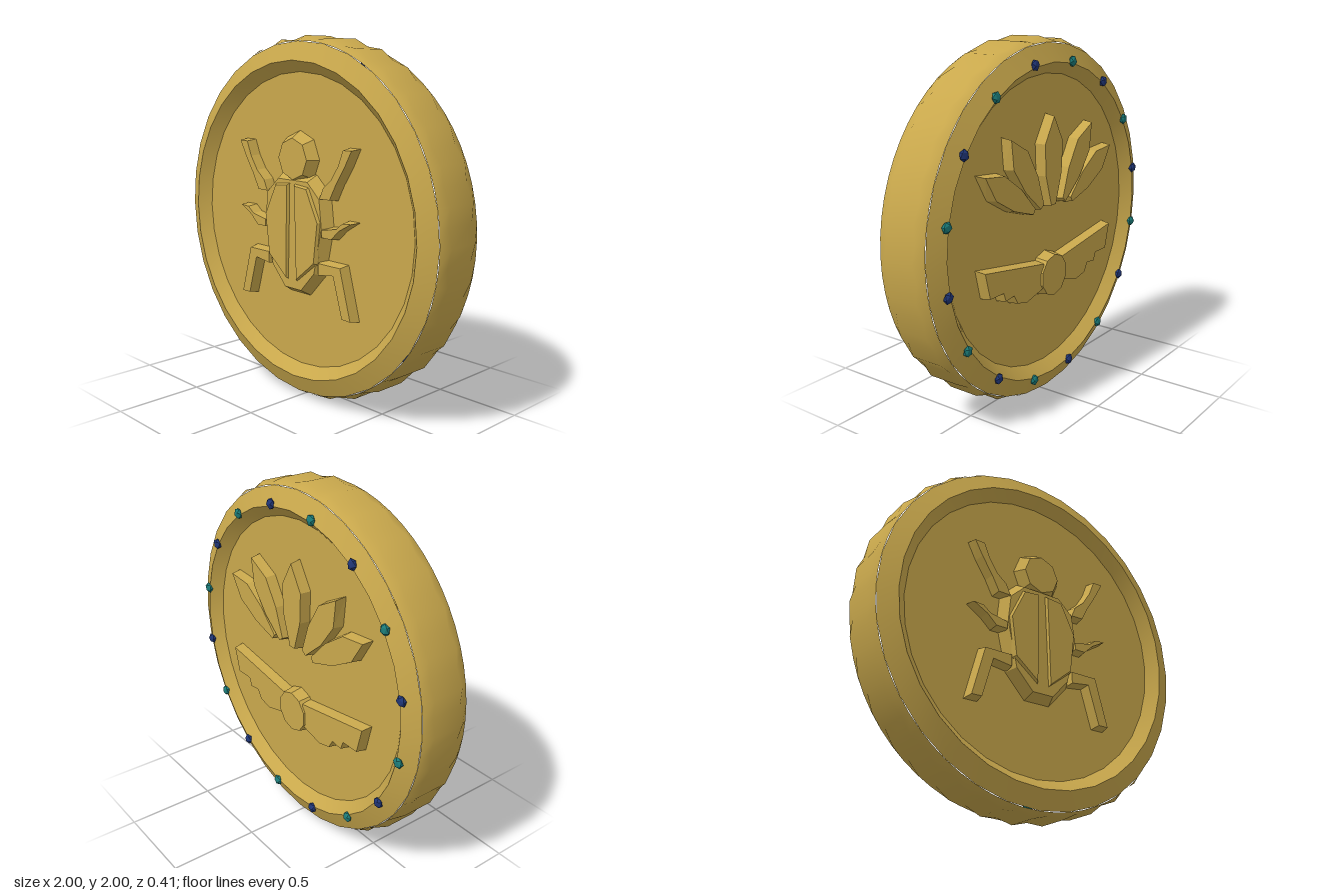
import * as THREE from 'three';
import { toCreasedNormals } from 'three/addons/utils/BufferGeometryUtils.js';

const material = (name, color) => Object.assign(new THREE.MeshStandardMaterial({ color }), { name });
const V = (x, y) => new THREE.Vector2(x, y);
const FLOOR = 0.13;

export function createModel() {
  const gold = material('gold', 0xc9a84c);
  const blue = material('lapis blue', 0x1f3576);
  const teal = material('turquoise', 0x1b7b78);

  const coin = new THREE.Group();
  coin.name = 'coin';
  coin.position.y = 1;

  const add = (parent, name, geometry, mat = gold) => {
    const mesh = new THREE.Mesh(geometry, mat);
    mesh.name = name;
    parent.add(mesh);
    return mesh;
  };

  // Raised relief: an outline whose walls lean inwards from z0 up to z1
  const relief = (parent, name, points, z1, draft = 0.01, z0 = FLOOR) => {
    const geometry = new THREE.ExtrudeGeometry(new THREE.Shape(points.map(([x, y]) => V(x, y))), {
      depth: 0.005, bevelEnabled: true, bevelSegments: 1,
      bevelThickness: z1 - z0, bevelSize: draft, bevelOffset: -draft,
    });
    geometry.translate(0, 0, z0 - 0.005);
    return add(parent, name, geometry);
  };
  const mirror = (points) => points.map(([x, y]) => [-x, y]);
  const pair = (parent, name, points, ...rest) => {
    relief(parent, name + 'Left', points, ...rest);
    relief(parent, name + 'Right', mirror(points), ...rest);
  };
  const polygon = (n, r, cy, turn = 0) => Array.from({ length: n }, (_, i) => {
    const a = turn + (i / n) * Math.PI * 2;
    return [r * Math.sin(a), cy + r * Math.cos(a)];
  });

  // Edge band: smooth, with a gently scalloped outline
  const band = new THREE.LatheGeometry(
    [V(0.97, -0.145), V(1, -0.09), V(1, 0.09), V(0.97, 0.145)], 64);
  const p = band.attributes.position;
  for (let i = 0; i < p.count; i++) {
    const step = Math.floor(i / 4);
    const k = step % 2 && Math.abs(p.getY(i)) < 0.1 ? 0.98 : 1;
    p.setXYZ(i, p.getX(i) * k, p.getY(i), p.getZ(i) * k);
  }
  add(coin, 'edgeBand', band.rotateX(Math.PI / 2));

  // Front and back faces: chamfered rim around a sunken field
  const dish = toCreasedNormals(new THREE.LatheGeometry(
    [V(0.97, 0.145), V(0.87, 0.19), V(0.81, FLOOR), V(0, FLOOR)], 32), 0.3);
  dish.rotateX(Math.PI / 2);
  const front = new THREE.Group();
  front.name = 'frontFace';
  const back = new THREE.Group();
  back.name = 'backFace';
  back.rotation.y = Math.PI;
  coin.add(front, back);
  add(front, 'frontRim', dish);
  add(back, 'backRim', dish);

  // Beetle
  const beetle = new THREE.Group();
  beetle.name = 'beetle';
  front.add(beetle);
  relief(beetle, 'head', polygon(8, 0.15, 0.35), 0.19, 0.035);
  const side = [[0.08, -0.4], [0.2, -0.27], [0.26, 0], [0.24, 0.17], [0.13, 0.27]];
  relief(beetle, 'body', [...side, ...mirror(side).reverse()], 0.19, 0.035);
  pair(beetle, 'wingCase',
    [[0.018, 0.22], [0.13, 0.21], [0.22, 0.03], [0.19, -0.2], [0.035, -0.32]], 0.205, 0.012, 0.185);
  pair(beetle, 'frontLeg',
    [[0.2, 0.21], [0.34, 0.34], [0.375, 0.35], [0.45, 0.43], [0.375, 0.43], [0.41, 0.35],
      [0.33, 0.24], [0.29, 0.15], [0.2, 0.15]].map(([x, y], i) =>
      i === 2 ? [0.4, 0.335] : i === 5 ? [0.34, 0.345] : i === 1 ? [0.335, 0.235] : i > 5 && i < 8
        ? [[0.29, 0.27], [0.23, 0.22]][i - 6] : i === 0 ? [0.29, 0.15] : [x, y]), 0.19, 0.008);
  pair(beetle, 'middleLeg',
    [[0.22, 0], [0.33, 0.02], [0.375, 0.055], [0.45, 0.055], [0.36, 0], [0.3, -0.055], [0.22, -0.055]],
    0.19, 0.008);
  pair(beetle, 'rearLeg',
    [[0.19, -0.18], [0.37, -0.18], [0.45, -0.47], [0.37, -0.47], [0.305, -0.25], [0.19, -0.265]],
    0.19, 0.01);

  // Lotus: five pointed petals fanned from a shared base
  const lotus = new THREE.Group();
  lotus.name = 'lotus';
  back.add(lotus);
  const petal = (name, bx, by, tx, ty, w) => {
    const dx = tx - bx, dy = ty - by, l = Math.hypot(dx, dy);
    const at = (t, s) => [bx + dx * t + (dy / l) * w * s, by + dy * t - (dx / l) * w * s];
    relief(lotus, name, [at(0, 0.3), at(0.35, 0.9), at(0.7, 1), at(1, 0),
      at(0.7, -1), at(0.35, -0.9), at(0, -0.3)], 0.19, 0.008);
  };
  petal('middlePetal', 0, 0.1, 0, 0.6, 0.09);
  for (const s of [1, -1]) {
    petal('innerPetal', 0.1 * s, 0.11, 0.38 * s, 0.52, 0.08);
    petal('outerPetal', 0.17 * s, 0.1, 0.59 * s, 0.36, 0.075);
  }

  // Winged disc with stepped feathers
  const winged = new THREE.Group();
  winged.name = 'wingedDisc';
  back.add(winged);
  relief(winged, 'disc', polygon(10, 0.13, -0.29), 0.2, 0.012);
  pair(winged, 'wing',
    [[0.08, -0.2], [0.6, -0.12], [0.56, -0.28], [0.45, -0.28], [0.43, -0.33], [0.36, -0.32],
      [0.33, -0.37], [0.24, -0.39], [0.08, -0.35]], 0.19, 0.008);

  // Sixteen alternating gems on the back rim
  const gem = new THREE.IcosahedronGeometry(0.032, 0);
  gem.scale(1, 1, 0.6);
  for (let k = 0; k < 16; k++) {
    const a = ((k + 0.5) * Math.PI) / 8;
    const mesh = add(coin, 'gem', gem, k % 2 ? blue : teal);
    mesh.position.set(0.88 * Math.cos(a), 0.88 * Math.sin(a), -0.188);
    mesh.rotation.z = a;
  }

  const model = new THREE.Group();
  model.name = 'medallion';
  model.add(coin);
  return model;
}
